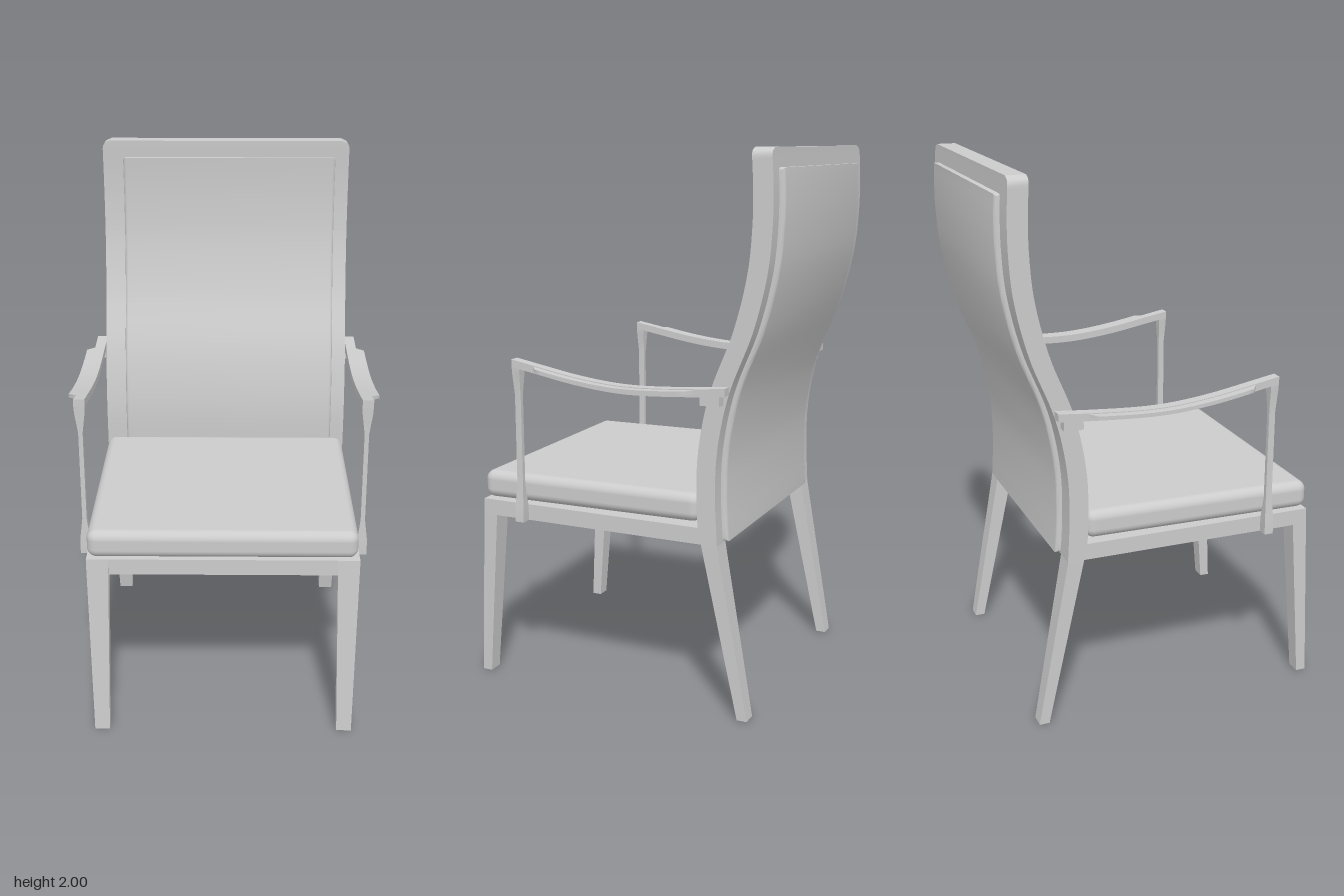
import * as THREE from 'three';
import { toCreasedNormals } from 'three/addons/utils/BufferGeometryUtils.js';
import { RoundedBoxGeometry } from 'three/addons/geometries/RoundedBoxGeometry.js';

const material = new THREE.MeshStandardMaterial({ color: 0xcccccc });

// Smooth function through [position, value] pairs, in rising order of position
function smoothThrough(pairs) {
  const curve = new THREE.CubicInterpolant(pairs.map((p) => p[0]), pairs.map((p) => p[1]), 1, [0]);
  return (t) => curve.evaluate(t)[0];
}

// Front face of the back frame: z by height
const backFront = smoothThrough([
  [0.64, -0.32], [0.8, -0.312], [0.95, -0.315], [1.1, -0.338], [1.2, -0.365],
  [1.4, -0.443], [1.6, -0.492], [1.75, -0.506], [1.86, -0.507], [2, -0.5],
]);

// Top of the armrest: y by z
const armTop = smoothThrough([
  [-0.43, 1.21], [-0.3, 1.199], [-0.1, 1.188], [0, 1.19], [0.15, 1.206], [0.3, 1.232], [0.4, 1.25],
]);

function mesh(name, geometry) {
  const m = new THREE.Mesh(geometry, material);
  m.name = name;
  return m;
}

// Unit box (-0.5 to 0.5) whose vertices are moved by a rule
function shapedBox(name, rows, slices, rule) {
  const geometry = new THREE.BoxGeometry(1, 1, 1, 1, rows, slices);
  const pos = geometry.attributes.position;
  for (let i = 0; i < pos.count; i++) {
    pos.setXYZ(i, ...rule(pos.getX(i), pos.getY(i), pos.getZ(i)));
  }
  geometry.computeVertexNormals();
  return mesh(name, geometry);
}

// Straight tapered leg; each end is [x, width, back z, front z, y]
function leg(name, side, foot, top) {
  return shapedBox(name, 1, 1, (x, y, z) => {
    const [cx, w, back, front, h] = y < 0 ? foot : top;
    return [side * cx + x * w, h, z < 0 ? back : front];
  });
}

// Curved slab with rounded upper corners
function backFrame() {
  const radius = 0.03;
  return shapedBox('backFrame', 136, 1, (x, y, z) => {
    const h = 0.64 + (y + 0.5) * 1.36;
    const over = Math.max(0, h - (2 - radius));
    const inset = radius - Math.sqrt(Math.max(0, radius ** 2 - over ** 2));
    return [Math.sign(x) * (0.49 - inset), h, backFront(h) + (z - 0.5) * 0.07];
  });
}

// Upholstered panel, standing proud of the frame on both faces
function backPanel() {
  const bevel = 0.012, left = -0.41, right = 0.436, bottom = 0.645, top = 1.935, steps = 40;
  const front = [], rear = [];
  for (let i = 0; i <= steps; i++) {
    const y = bottom + ((top - bottom) * i) / steps;
    front.push(new THREE.Vector2(backFront(y) + 0.016, y));
    rear.unshift(new THREE.Vector2(backFront(y) - 0.09, y));
  }
  const geometry = new THREE.ExtrudeGeometry(new THREE.Shape([...front, ...rear]), {
    depth: right - left - 2 * bevel, bevelThickness: bevel, bevelSize: bevel,
    bevelOffset: -bevel, bevelSegments: 3,
  });
  geometry.rotateY(-Math.PI / 2);
  geometry.translate(right - bevel, 0, 0);
  return mesh('backPanel', toCreasedNormals(geometry, 0.7));
}

function arm(side) {
  const group = new THREE.Group();
  group.name = side > 0 ? 'leftArm' : 'rightArm';
  const cx = side * 0.51;

  // Curved rail
  group.add(shapedBox('armRail', 1, 40, (x, y, z) => {
    const pz = -0.43 + (z + 0.5) * 0.83;
    return [cx + x * 0.04, armTop(pz) + (y - 0.5) * 0.028, pz];
  }));

  // Thin pad widening the rail outwards, with angled ends
  group.add(shapedBox('armPad', 1, 25, (x, y, z) => {
    const pz = -0.005 + z * 0.63;
    const reach = Math.min(1, ((0.5 - Math.abs(z)) * 0.63) / 0.025);
    const px = x * side > 0 ? 0.528 + 0.033 * reach : 0.5;
    return [side * px, armTop(pz) - 0.003 + (y - 0.5) * 0.014, pz];
  }));

  // Front post, slim between flared ends: [y, width, depth]
  const post = [
    [0.64, 0.038, 0.034], [0.7, 0.036, 0.034], [0.78, 0.016, 0.024],
    [1.12, 0.016, 0.024], [1.2, 0.038, 0.03], [1.24, 0.04, 0.032],
  ];
  group.add(shapedBox('armPost', post.length - 1, 1, (x, y, z) => {
    const [h, w, d] = post[Math.round((y + 0.5) * (post.length - 1))];
    return [cx + x * w, h, 0.384 + z * d];
  }));

  // Block joining the rail to the back frame
  const block = mesh('armBlock', new THREE.BoxGeometry(0.04, 0.055, 0.07));
  block.position.set(cx, 1.173, -0.375);
  group.add(block);
  return group;
}

export function createModel() {
  const chair = new THREE.Group();
  chair.name = 'armchair';

  // Seat
  const seatFrame = mesh('seatFrame', new THREE.BoxGeometry(0.98, 0.06, 0.94));
  seatFrame.position.set(0, 0.67, 0.09);
  const cushion = mesh('seatCushion', new RoundedBoxGeometry(0.97, 0.104, 0.88, 5, 0.034));
  cushion.position.set(-0.002, 0.759, 0.125);
  cushion.rotation.x = 0.01;
  chair.add(seatFrame, cushion, backFrame(), backPanel());

  // Legs and arms
  for (const side of [-1, 1]) {
    chair.add(
      leg('frontLeg', side, [0.452, 0.055, 0.56, 0.598, 0], [0.45, 0.08, 0.503, 0.561, 0.7]),
      leg('backLeg', side, [0.452, 0.055, -0.505, -0.467, 0], [0.45, 0.08, -0.388, -0.328, 0.645]),
      arm(side),
    );
  }
  return chair;
}
